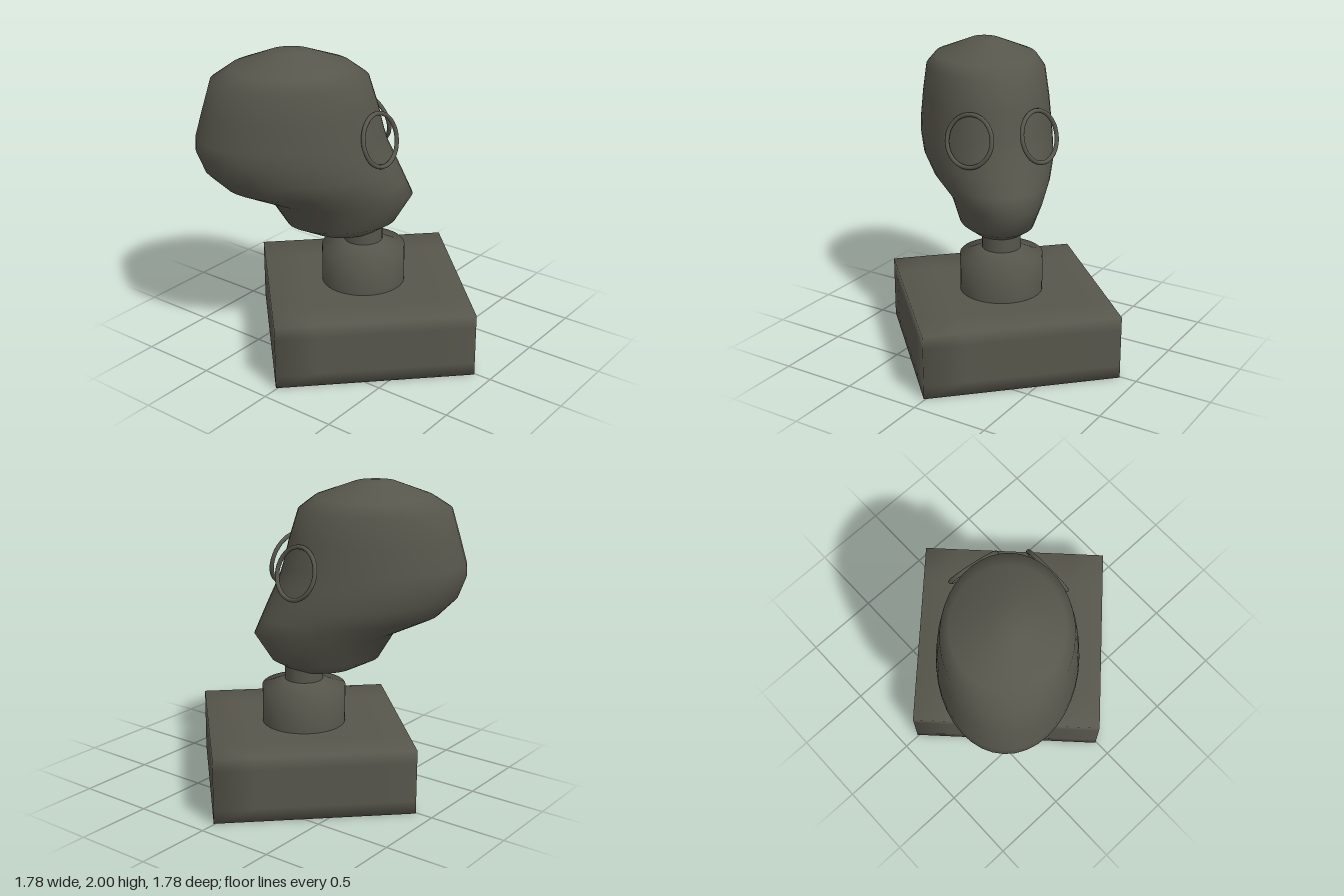
import * as THREE from 'three';
import { mergeVertices } from 'three/addons/utils/BufferGeometryUtils.js';

const olive = new THREE.MeshStandardMaterial({ color: 0x57564c });
olive.name = 'dark olive grey';

function part(name, geometry, parent) {
  const mesh = new THREE.Mesh(geometry, olive);
  mesh.name = name;
  parent.add(mesh);
  return mesh;
}

// Shares vertices so that normals blend across edges
function smooth(geometry) {
  geometry.deleteAttribute('normal');
  geometry.deleteAttribute('uv');
  const merged = mergeVertices(geometry, 1e-4);
  merged.computeVertexNormals();
  return merged;
}

// Closed skin over elliptical rings: [y, centre z, half length, half width]
function ellipseLoft(rings, sides) {
  const pos = [], index = [];
  for (const [y, c, a, b] of rings) {
    for (let j = 0; j < sides; j++) {
      const t = (j / sides) * Math.PI * 2;
      pos.push(b * Math.sin(t), y, c + a * Math.cos(t));
    }
  }
  for (let i = 0; i < rings.length - 1; i++) {
    for (let j = 0; j < sides; j++) {
      const k = (j + 1) % sides;
      const p = i * sides + j, q = i * sides + k;
      index.push(p, q, q + sides, p, q + sides, p + sides);
    }
  }
  // End caps
  const last = (rings.length - 1) * sides;
  const bottom = pos.length / 3, top = bottom + 1;
  const first = rings[0], end = rings[rings.length - 1];
  pos.push(0, first[0] - 0.01, first[1], 0, end[0] + 0.01, end[1]);
  for (let j = 0; j < sides; j++) {
    const k = (j + 1) % sides;
    index.push(bottom, k, j, top, last + j, last + k);
  }
  const g = new THREE.BufferGeometry();
  g.setAttribute('position', new THREE.Float32BufferAttribute(pos, 3));
  g.setIndex(index);
  g.computeVertexNormals();
  return g;
}

export function createModel() {
  const model = new THREE.Group();
  model.name = 'maskedBust';

  // Square plinth, set corner to the front, with softly blended edges
  const base = part('base', smooth(new THREE.BoxGeometry(1.257, 0.42, 1.257, 5, 5, 5)), model);
  base.position.y = 0.21;
  base.rotation.y = Math.PI / 4 - 0.01;

  // Collar with sloping shoulder, and the neck
  const collar = [[0.27, 0.41], [0.27, 0.667], [0.125, 0.71]];
  part('collar', new THREE.LatheGeometry(collar.map(([r, y]) => new THREE.Vector2(r, y)), 40), model);
  const neck = part('neck', new THREE.CylinderGeometry(0.125, 0.125, 0.2, 32), model);
  neck.position.y = 0.75;

  // Head, long towards the back and narrowing to the chin, turned to the corner
  const head = part('head', ellipseLoft([
    [0.755, -0.12, 0.10, 0.07],
    [0.775, -0.12, 0.20, 0.14],
    [0.85, -0.14, 0.35, 0.24],
    [1.02, -0.138, 0.457, 0.29],
    [1.13, -0.304, 0.575, 0.375],
    [1.245, -0.39, 0.61, 0.42],
    [1.375, -0.445, 0.605, 0.43],
    [1.46, -0.457, 0.59, 0.425],
    [1.63, -0.453, 0.545, 0.41],
    [1.815, -0.453, 0.489, 0.385],
    [1.893, -0.445, 0.376, 0.33],
    [1.985, -0.45, 0.125, 0.10],
  ], 40), model);
  head.rotation.y = Math.PI / 4;

  // Open eye rims, one on each side of the face
  const rims = [
    ['rightEyeRim', [-0.105, 1.46, 0.21], 0, -0.24],
    ['leftEyeRim', [0.218, 1.46, -0.105], Math.PI / 2 - 0.16, -0.27],
  ];
  for (const [name, at, yaw, tilt] of rims) {
    const rim = part(name, new THREE.TorusGeometry(0.165, 0.014, 10, 48), model);
    rim.position.set(...at);
    rim.rotation.set(tilt, yaw, 0, 'YXZ');
  }
  return model;
}
